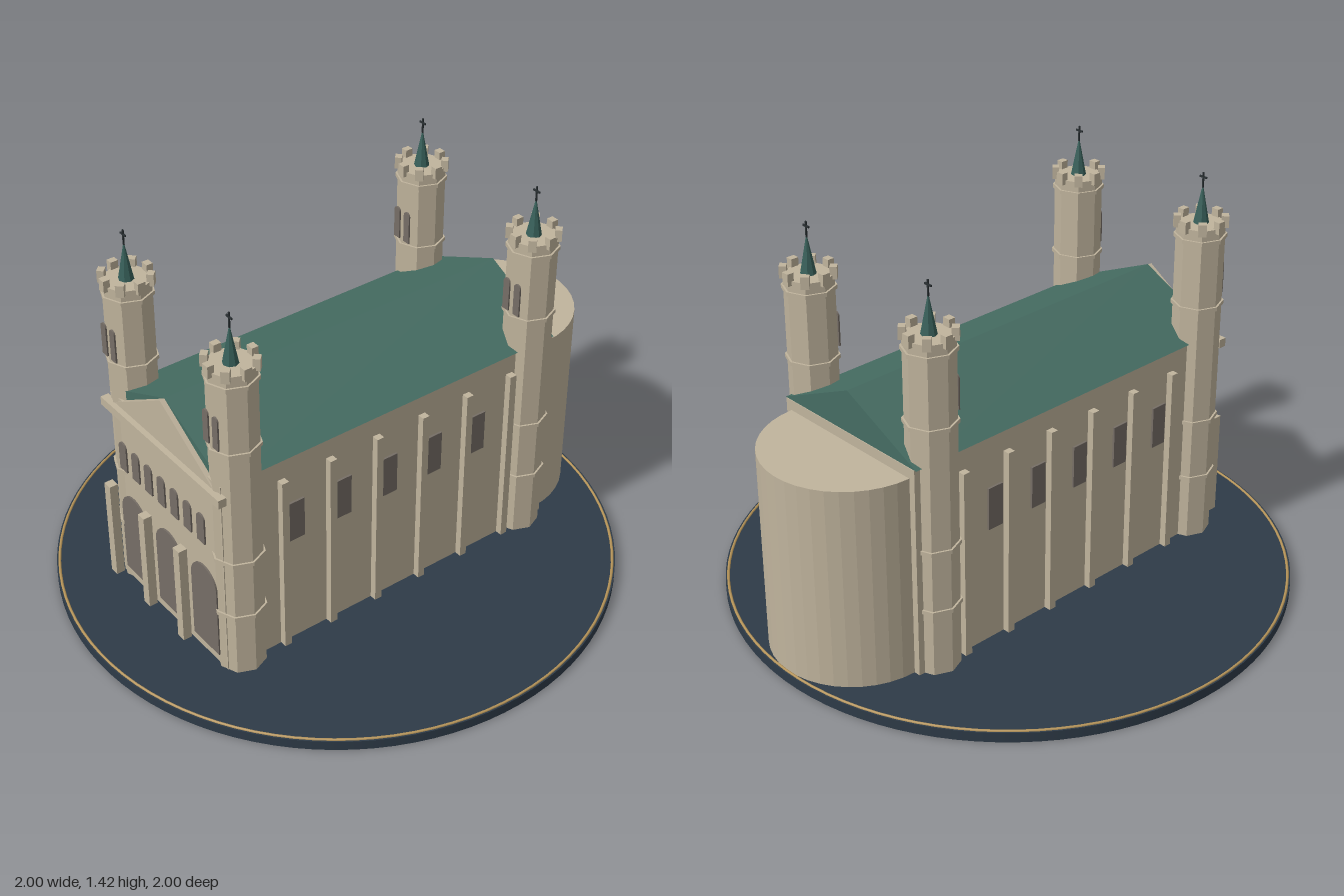
import * as THREE from 'three';

const paint = (name, color) => Object.assign(new THREE.MeshStandardMaterial({ color }), { name });

// gives a geometry hard facets
function faceted(geo) {
  const g = geo.index ? geo.toNonIndexed() : geo;
  g.computeVertexNormals();
  return g;
}

export function createModel() {
  const stone = paint('stone', 0xc0b49d);
  const roofGreen = paint('roofGreen', 0x466d63);
  const spireGreen = paint('spireGreen', 0x38605a);
  const glass = paint('windowGrey', 0x766e66);
  const slate = paint('baseSlate', 0x2e3b48);
  const gold = paint('rimGold', 0xb8965a);
  const iron = paint('crossIron', 0x2a3033);

  const model = new THREE.Group();
  model.name = 'church';
  const floor = 0.038;

  const add = (parent, name, geo, mat, x = 0, y = 0, z = 0) => {
    const m = new THREE.Mesh(geo, mat);
    m.name = name;
    m.position.set(x, y, z);
    parent.add(m);
    return m;
  };
  // box given by its lower and upper y
  const block = (parent, name, w, y0, y1, d, mat, x, z) =>
    add(parent, name, new THREE.BoxGeometry(w, y1 - y0, d), mat, x, (y0 + y1) / 2, z);

  // triangular prism with its base at y = 0, running along z
  const prism = (half, height, depth) => {
    const s = new THREE.Shape();
    s.moveTo(-half, 0);
    s.lineTo(half, 0);
    s.lineTo(0, height);
    s.closePath();
    return new THREE.ExtrudeGeometry(s, { depth, bevelEnabled: false });
  };

  // thin round-headed panel facing +z
  const archPanel = (w, h) => {
    const r = w / 2;
    const s = new THREE.Shape();
    s.moveTo(-r, 0);
    s.lineTo(r, 0);
    s.lineTo(r, h - r);
    s.absarc(0, h - r, r, 0, Math.PI, false);
    s.closePath();
    return new THREE.ExtrudeGeometry(s, { depth: 0.006, bevelEnabled: false, curveSegments: 12 });
  };

  // round base with a gilded rim
  add(model, 'base', new THREE.CylinderGeometry(1, 1, 0.036, 96), slate, 0, 0.018, 0);
  const rim = add(model, 'baseRim', new THREE.TorusGeometry(0.99, 0.005, 6, 96), gold, 0, 0.036, 0);
  rim.rotation.x = Math.PI / 2;

  // nave and roof
  block(model, 'nave', 0.64, floor, 0.812, 1.385, stone, 0, 0);
  add(model, 'roof', prism(0.327, 0.153, 1.37), roofGreen, 0, 0.812, -0.69);

  // apse
  add(model, 'apse', faceted(new THREE.CylinderGeometry(0.296, 0.296, 0.775 - floor, 20, 1, false, Math.PI / 2, Math.PI)),
    stone, 0, (0.775 + floor) / 2, -0.692);

  // side buttresses and windows
  for (const side of [-1, 1]) {
    for (let i = 0; i < 6; i++)
      block(model, 'buttress', 0.03, floor, 0.735, 0.027, stone, side * 0.33, 0.462 - i * 0.192);
    for (let i = 0; i < 5; i++)
      block(model, 'sideWindow', 0.008, 0.47, 0.625, 0.06, glass, side * 0.325, 0.407 - i * 0.192);
  }

  // front gable and cornice
  add(model, 'gable', prism(0.295, 0.18, 0.03), stone, 0, 0.783, 0.668);
  block(model, 'cornice', 0.69, 0.755, 0.787, 0.03, stone, 0, 0.703);

  // front doors, gallery windows and pillars
  for (let i = -1; i <= 1; i++) {
    add(model, 'doorArch', archPanel(0.147, 0.342), glass, i * 0.211, 0.083, 0.697);
    block(model, 'pillar', 0.035, 0.065, 0.452, 0.032, stone, -0.09 + i * 0.211, 0.731);
  }
  for (let i = -3; i <= 3; i++)
    add(model, 'galleryWindow', archPanel(0.043, 0.115), glass, i * 0.0767, 0.547, 0.711);

  // corner towers
  const makeTower = () => {
    const t = new THREE.Group();
    t.name = 'tower';
    add(t, 'shaft', faceted(new THREE.CylinderGeometry(0.084, 0.084, 1.24 - floor, 8)), stone, 0, (1.24 + floor) / 2, 0);
    for (const y of [0.28, 0.505, 0.945, 1.195])
      add(t, 'band', faceted(new THREE.CylinderGeometry(0.091, 0.091, 0.014, 8)), stone, 0, y, 0);
    for (let i = 0; i < 8; i++) {
      const a = (i * Math.PI) / 4;
      const m = block(t, 'merlon', 0.028, 1.225, 1.268, 0.024, stone, Math.sin(a) * 0.081, Math.cos(a) * 0.081);
      m.rotation.y = a;
    }
    add(t, 'spire', faceted(new THREE.ConeGeometry(0.027, 0.14, 8)), spireGreen, 0, 1.308, 0);
    block(t, 'crossPost', 0.005, 1.365, 1.42, 0.005, iron, 0, 0);
    block(t, 'crossArm', 0.03, 1.4, 1.406, 0.005, iron, 0, 0);
    for (const x of [-0.026, 0.026])
      add(t, 'towerWindow', archPanel(0.029, 0.122), glass, x, 0.965, 0.079);
    return t;
  };
  for (const x of [-0.292, 0.292])
    for (const z of [-0.597, 0.617]) {
      const t = makeTower();
      t.position.set(x, 0, z);
      model.add(t);
    }

  return model;
}
